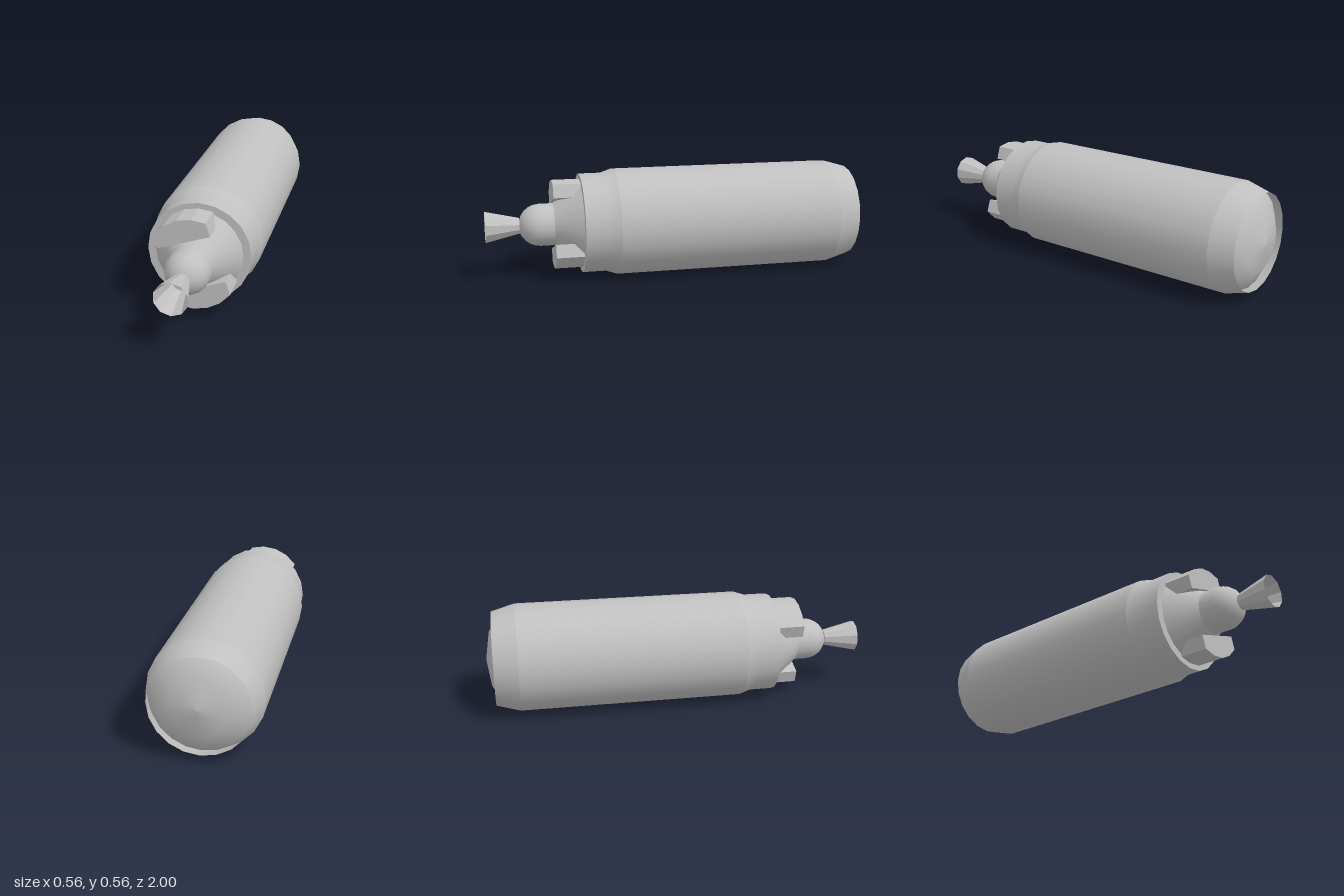
import * as THREE from 'three';

const AXIS_Y = 0.28;

export function createModel() {
  const model = new THREE.Group();
  const grey = new THREE.MeshStandardMaterial({ color: 0xc0c0c0, side: THREE.DoubleSide });
  grey.name = 'grey metal';
  const facetedGrey = grey.clone();
  facetedGrey.flatShading = true;

  const add = (name, geometry, material = grey) => {
    const mesh = new THREE.Mesh(geometry, material);
    mesh.name = name;
    mesh.position.y = AXIS_Y;
    model.add(mesh);
    return mesh;
  };

  // Turned part along z from [z, radius] pairs, listed back to front
  const turned = (name, profile, sides = 20, material = grey) => {
    const points = profile.map(([z, r]) => new THREE.Vector2(r, z));
    return add(name, new THREE.LatheGeometry(points, sides).rotateX(Math.PI / 2), material);
  };

  // Main shell with an open, tapered rear rim and a stepped front collar
  turned('rearTaper', [[-0.962, 0.245], [-0.84, 0.28]]);
  turned('body', [[-0.84, 0.28], [0.33, 0.28]]);
  turned('collar', [[0.33, 0.28], [0.39, 0.26], [0.51, 0.26]]);
  turned('collarFace', [[0.51, 0.26], [0.51, 0.2]]);

  // Shallow rear dome sitting inside the rim
  const dome = [];
  for (let i = 0; i <= 3; i++) {
    const a = (i * Math.PI) / 6;
    dome.push([-0.84 - 0.16 * Math.cos(a), 0.28 * Math.sin(a)]);
  }
  turned('rearDome', dome);

  // Front cone, and the rounded boss in front of it
  turned('frontCone', [[0.51, 0.22], [0.65, 0.11]]);
  const boss = [[0.63, 0.11]];
  for (let i = 0; i <= 6; i++) {
    const a = (i * Math.PI) / 12;
    boss.push([0.72 + 0.11 * Math.sin(a), 0.11 * Math.cos(a)]);
  }
  turned('roundedBoss', boss);

  // Open ten-sided nozzle, closed at the throat
  turned('nozzle', [[0.825, 0.042], [1, 0.083]], 10, facetedGrey);
  turned('nozzleThroat', [[0.832, 0.043], [0.832, 0]], 10, facetedGrey);

  // Pair of lugs, one turned half way round the axis from the other
  const lugShape = new THREE.Shape([
    [-0.188, 0.135], [-0.165, 0.07], [0.092, 0.155], [0.07, 0.221],
    [0, 0.232], [-0.072, 0.221], [-0.136, 0.188],
  ].map(([x, y]) => new THREE.Vector2(x, y)));
  const lug = new THREE.ExtrudeGeometry(lugShape, { depth: 0.145, bevelEnabled: false });
  lug.translate(0, 0, 0.508);
  ['upperLug', 'lowerLug'].forEach((name, i) => {
    add(name, lug, facetedGrey).rotation.z = i * Math.PI;
  });

  return model;
}
